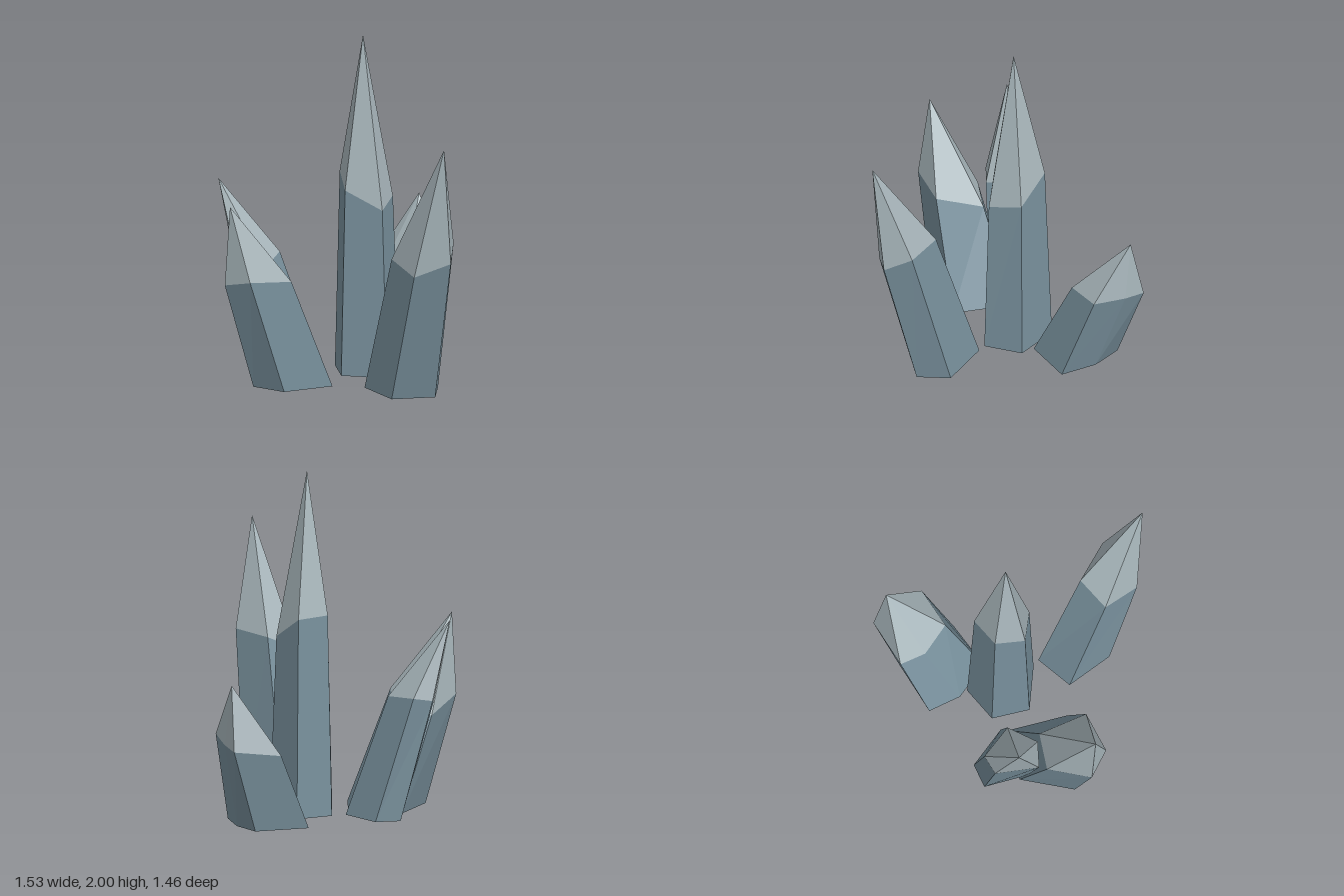
import * as THREE from 'three';

const shaftMat = new THREE.MeshStandardMaterial({ color: 0x78909c, flatShading: true });
shaftMat.name = 'slateBlue';
const tipMat = new THREE.MeshStandardMaterial({ color: 0xa8b6bb, flatShading: true });
tipMat.name = 'paleGrey';

// Each crystal: base ring [x, z] on the ground, shoulder ring [x, y, z], apex [x, y, z].
// Rings run in matching order around the crystal.
const crystals = {
  centreCrystal: {
    base: [[0.18, 0], [0.345, -0.155], [0.26, -0.4], [0.04, -0.37], [-0.03, -0.16]],
    shoulder: [[0.17, 0.99, -0.035], [0.31, 1.03, -0.17], [0.24, 1.16, -0.365], [0.055, 1.17, -0.34], [0, 1.1, -0.17]],
    apex: [0.14, 2, -0.215],
  },
  frontCrystal: {
    base: [[0, 0.4], [0.24, 0.48], [0.345, 0.315], [0.2, 0.045], [-0.025, 0.115]],
    shoulder: [[0.035, 0.775, 0.61], [0.23, 0.85, 0.69], [0.32, 0.93, 0.555], [0.2, 0.915, 0.33], [0.01, 0.83, 0.38]],
    apex: [0.165, 1.55, 0.73],
  },
  leftCrystal: {
    base: [[0.34, -0.235], [0.63, -0.255], [0.645, -0.47], [0.59, -0.645], [0.27, -0.65], [0.25, -0.455]],
    shoulder: [[0.51, 0.5, -0.39], [0.75, 0.535, -0.4], [0.762, 0.51, -0.6], [0.745, 0.49, -0.73], [0.46, 0.45, -0.725], [0.44, 0.45, -0.57]],
    apex: [0.735, 0.865, -0.65],
  },
  rightFrontCrystal: {
    base: [[-0.475, -0.02], [-0.175, 0.005], [-0.07, -0.335], [-0.36, -0.435], [-0.58, -0.2]],
    shoulder: [[-0.68, 0.67, -0.05], [-0.425, 0.65, -0.025], [-0.35, 0.54, -0.295], [-0.56, 0.55, -0.375], [-0.765, 0.63, -0.2]],
    apex: [-0.75, 1.105, -0.165],
  },
  rightBackCrystal: {
    base: [[-0.2, -0.25], [-0.045, -0.365], [-0.145, -0.61], [-0.29, -0.63], [-0.36, -0.39]],
    shoulder: [[-0.42, 0.65, -0.35], [-0.27, 0.7, -0.46], [-0.355, 0.72, -0.67], [-0.47, 0.7, -0.67], [-0.555, 0.64, -0.425]],
    apex: [-0.6, 1.15, -0.59],
  },
};

function facets(name, triangles, material) {
  const geometry = new THREE.BufferGeometry();
  geometry.setAttribute('position', new THREE.Float32BufferAttribute(triangles.flat(2), 3));
  geometry.computeVertexNormals();
  const mesh = new THREE.Mesh(geometry, material);
  mesh.name = name;
  return mesh;
}

function crystal(name, { base, shoulder, apex }) {
  const ring = base.map(([x, z]) => [x, 0, z]);
  const n = ring.length;
  const centre = [0, 1, 2].map((k) => ring.reduce((sum, p) => sum + p[k], 0) / n);
  const shaft = [], tip = [];
  for (let i = 0; i < n; i++) {
    const j = (i + 1) % n;
    // side facet, underside wedge, and tip facet
    shaft.push([ring[i], ring[j], shoulder[j]], [ring[i], shoulder[j], shoulder[i]]);
    shaft.push([centre, ring[j], ring[i]]);
    tip.push([shoulder[i], shoulder[j], apex]);
  }
  const group = new THREE.Group();
  group.name = name;
  group.add(facets('shaft', shaft, shaftMat), facets('tip', tip, tipMat));
  return group;
}

export function createModel() {
  const model = new THREE.Group();
  model.name = 'crystalCluster';
  for (const [name, data] of Object.entries(crystals)) model.add(crystal(name, data));
  return model;
}
